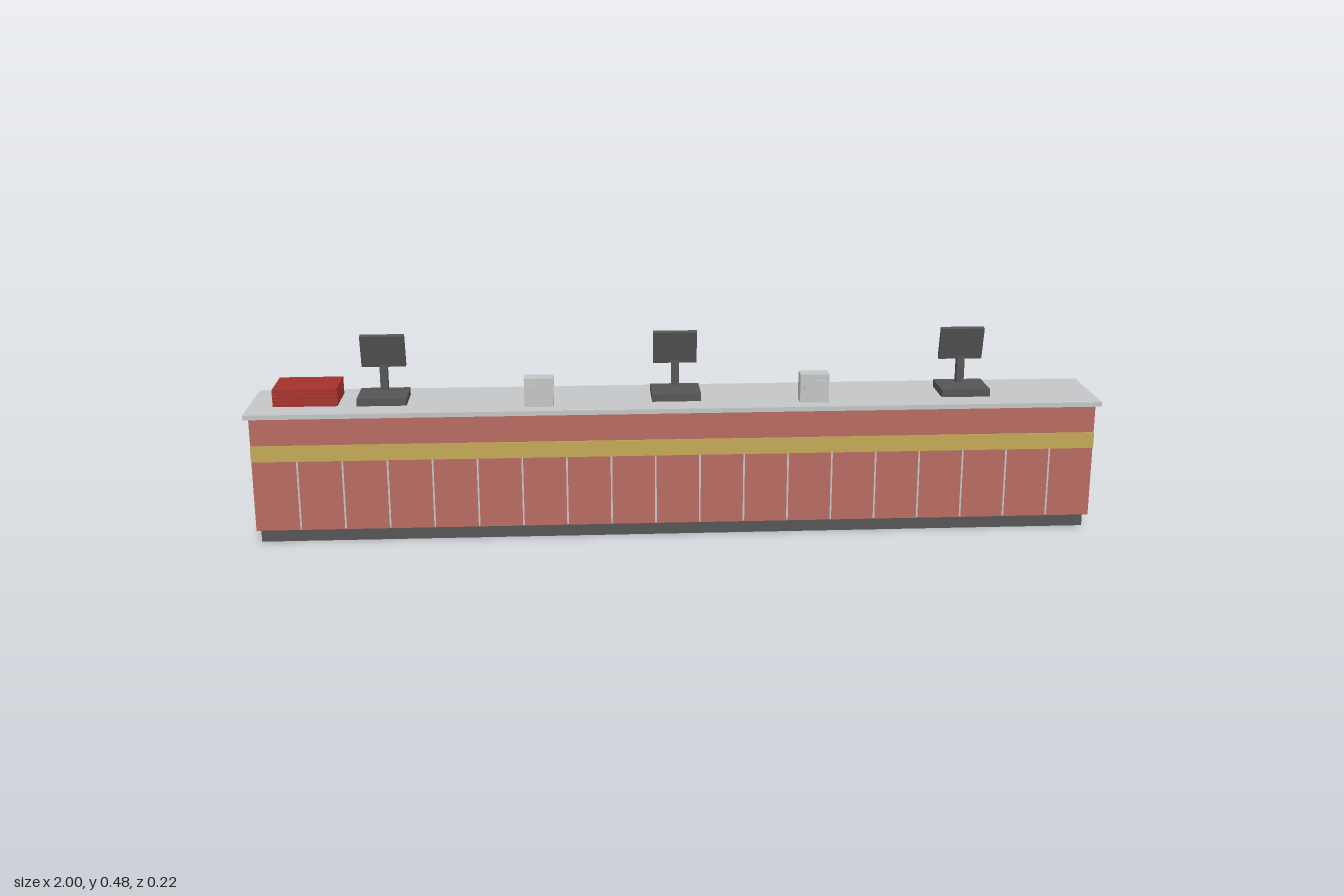
import * as THREE from 'three';

const mat = (name, color) => {
  const m = new THREE.MeshStandardMaterial({ color });
  m.name = name;
  return m;
};

export function createModel() {
  const salmon = mat('salmon panel', 0xb86b60);
  const grey = mat('light grey', 0xc3c5c6);
  const dark = mat('dark grey', 0x555555);
  const gold = mat('gold band', 0xc2a856);
  const red = mat('tray red', 0xa3322b);

  const model = new THREE.Group();
  model.name = 'serviceCounter';

  // Box given by its extents on each axis
  const box = (parent, name, material, [x0, x1], [y0, y1], [z0, z1]) => {
    const mesh = new THREE.Mesh(new THREE.BoxGeometry(x1 - x0, y1 - y0, z1 - z0), material);
    mesh.position.set((x0 + x1) / 2, (y0 + y1) / 2, (z0 + z1) / 2);
    mesh.name = name;
    parent.add(mesh);
    return mesh;
  };

  // Counter
  box(model, 'plinth', dark, [-0.983, 0.983], [0, 0.035], [-0.095, 0.075]);
  box(model, 'counterBody', salmon, [-0.99, 0.99], [0.035, 0.309], [-0.104, 0.096]);
  box(model, 'worktop', grey, [-1, 1], [0.309, 0.32], [-0.111, 0.111]);
  box(model, 'frontBand', gold, [-0.99, 0.99], [0.204, 0.242], [0.096, 0.1]);

  // Thin strips between the nineteen front panels
  const pitch = 1.98 / 19;
  for (let i = 1; i < 19; i++) {
    const x = -0.99 + i * pitch;
    box(model, 'panelStrip', grey, [x - 0.002, x + 0.002], [0.037, 0.204], [0.096, 0.097]);
  }

  // Three till terminals with forward-tilted screens
  for (const x of [-0.69, 0, 0.69]) {
    const till = new THREE.Group();
    till.name = 'till';
    till.position.x = x;
    box(till, 'tillBase', dark, [-0.058, 0.058], [0.32, 0.338], [-0.054, 0.046]);
    box(till, 'tillPost', dark, [-0.009, 0.009], [0.338, 0.4], [-0.04, -0.021]);
    const screen = box(till, 'tillScreen', dark, [-0.052, 0.052], [0.395, 0.475], [-0.034, -0.022]);
    screen.rotation.x = 0.235;
    model.add(till);
  }

  // Two napkin dispensers with a raised front plate
  for (const x of [-0.323, 0.323]) {
    const dispenser = new THREE.Group();
    dispenser.name = 'napkinDispenser';
    dispenser.position.x = x;
    box(dispenser, 'dispenserBody', grey, [-0.034, 0.034], [0.32, 0.388], [0.036, 0.075]);
    box(dispenser, 'dispenserPlate', grey, [-0.025, 0.025], [0.335, 0.373], [0.075, 0.077]);
    model.add(dispenser);
  }

  // Stack of five trays around a slightly inset core
  const trays = new THREE.Group();
  trays.name = 'trayStack';
  box(trays, 'trayCore', red, [-0.936, -0.798], [0.32, 0.36], [-0.067, 0.04]);
  for (let i = 0; i < 5; i++) {
    const y = 0.321 + i * 0.0086;
    box(trays, 'tray', red, [-0.942, -0.792], [y, y + 0.0068], [-0.072, 0.045]);
  }
  model.add(trays);

  return model;
}
